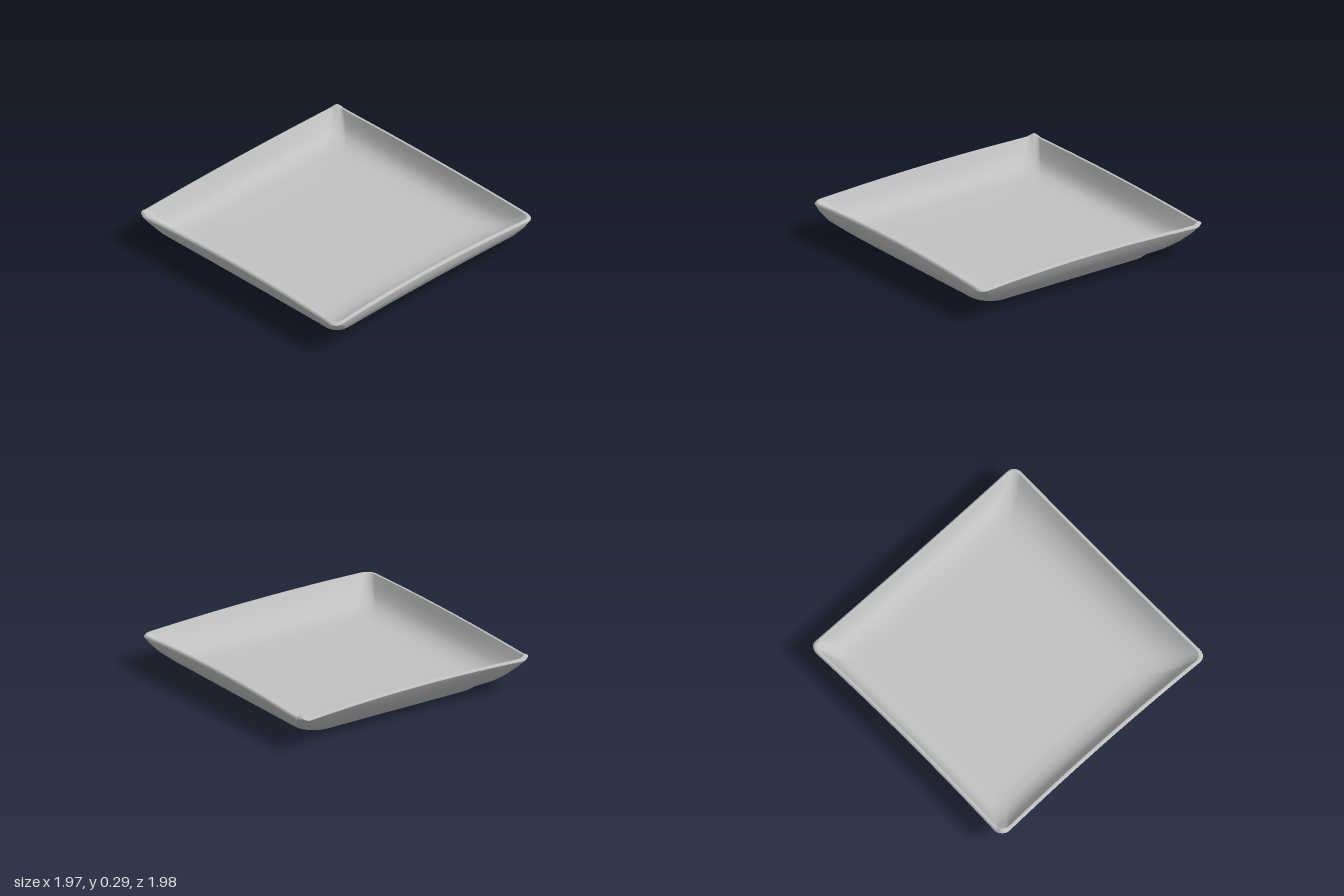
import * as THREE from 'three';

const ARC = 6, EDGE = 14;

// One rounded-rectangle loop: [xMin, xMax, zMin, zMax, cornerRadius, y, rimWeight]
function ring([x0, x1, z0, z1, r, y, w]) {
  const corners = [[x1 - r, z1 - r], [x0 + r, z1 - r], [x0 + r, z0 + r], [x1 - r, z0 + r]];
  const flat = [];
  corners.forEach(([cx, cz], k) => {
    for (let i = 0; i <= ARC; i++) {
      const a = (k + i / ARC) * Math.PI / 2;
      flat.push([cx + r * Math.cos(a), cz + r * Math.sin(a)]);
    }
    const [px, pz] = flat[flat.length - 1];
    const [nx, nz] = corners[(k + 1) % 4];
    const b = (k + 1) * Math.PI / 2;
    const ex = nx + r * Math.cos(b), ez = nz + r * Math.sin(b);
    for (let i = 1; i < EDGE; i++) {
      const t = i / EDGE;
      flat.push([px + (ex - px) * t, pz + (ez - pz) * t]);
    }
  });
  // Rim bows up and in at mid-edge, back corners curl up, whole dish leans slightly
  return flat.map(([x, z]) => {
    const ax = Math.abs(x), az = Math.abs(z);
    const m = Math.min(ax, az) / Math.max(ax, az, 1e-6);
    const bow = w * (1 - m * m);
    const tip = z < 0 ? w * 0.025 * Math.max(0, (m - 0.93) / 0.07) : 0;
    const pull = 1 - 0.014 * bow;
    return [x * pull, y + 0.028 * bow + tip + 0.01 * (0.75 - x) * (0.5 + 0.5 * w), z * pull];
  });
}

// Smooth skin through a list of loops
function loft(name, loops, material) {
  const rings = loops.map(ring), n = rings[0].length;
  const index = [];
  for (let i = 0; i < rings.length - 1; i++) {
    for (let j = 0; j < n; j++) {
      const a = i * n + j, b = i * n + (j + 1) % n, c = a + n, d = b + n;
      index.push(a, c, b, b, c, d);
    }
  }
  const g = new THREE.BufferGeometry();
  g.setAttribute('position', new THREE.Float32BufferAttribute(rings.flat(2), 3));
  g.setIndex(index);
  g.computeVertexNormals();
  const mesh = new THREE.Mesh(g, material);
  mesh.name = name;
  return mesh;
}

export function createModel() {
  const group = new THREE.Group();
  group.name = 'squareDish';
  const glaze = new THREE.MeshStandardMaterial({ color: 0xc2c2c2, side: THREE.DoubleSide });
  glaze.name = 'greyGlaze';

  const foot = [-0.755, 0.745, -0.725, 0.77, 0.16, 0, 0];
  const outerLip = [-0.99, 0.985, -0.992, 0.99, 0.07, 0.225, 1];
  const innerLip = [-0.965, 0.96, -0.965, 0.965, 0.06, 0.238, 1];

  // Hollowed underside inside the foot
  group.add(loft('underside', [
    [-0.005, 0.005, -0.005, 0.005, 0.002, 0.04, 0],
    [-0.35, 0.35, -0.33, 0.36, 0.08, 0.032, 0],
    [-0.68, 0.67, -0.65, 0.69, 0.14, 0.012, 0],
    foot,
  ], glaze));

  // Flared outer wall
  group.add(loft('outerWall', [
    foot,
    [-0.79, 0.77, -0.755, 0.81, 0.15, 0.03, 0],
    [-0.865, 0.85, -0.84, 0.87, 0.13, 0.075, 0.1],
    [-0.925, 0.915, -0.905, 0.94, 0.11, 0.13, 0.3],
    [-0.965, 0.96, -0.96, 0.98, 0.09, 0.185, 0.7],
    outerLip,
  ], glaze));

  // Thin rounded rim
  group.add(loft('rim', [
    outerLip,
    [-0.985, 0.98, -0.987, 0.985, 0.07, 0.236, 1],
    [-0.975, 0.97, -0.976, 0.975, 0.065, 0.241, 1],
    innerLip,
  ], glaze));

  // Curved inner wall running into the flat floor
  group.add(loft('bowl', [
    innerLip,
    [-0.935, 0.94, -0.94, 0.93, 0.07, 0.2, 0.7],
    [-0.895, 0.91, -0.905, 0.875, 0.08, 0.15, 0.3],
    [-0.84, 0.87, -0.865, 0.8, 0.09, 0.11, 0.1],
    [-0.77, 0.81, -0.81, 0.72, 0.1, 0.088, 0],
    [-0.68, 0.72, -0.72, 0.63, 0.1, 0.08, 0],
    [-0.3, 0.3, -0.3, 0.3, 0.06, 0.076, 0],
    [-0.005, 0.005, -0.005, 0.005, 0.002, 0.075, 0],
  ], glaze));

  return group;
}
